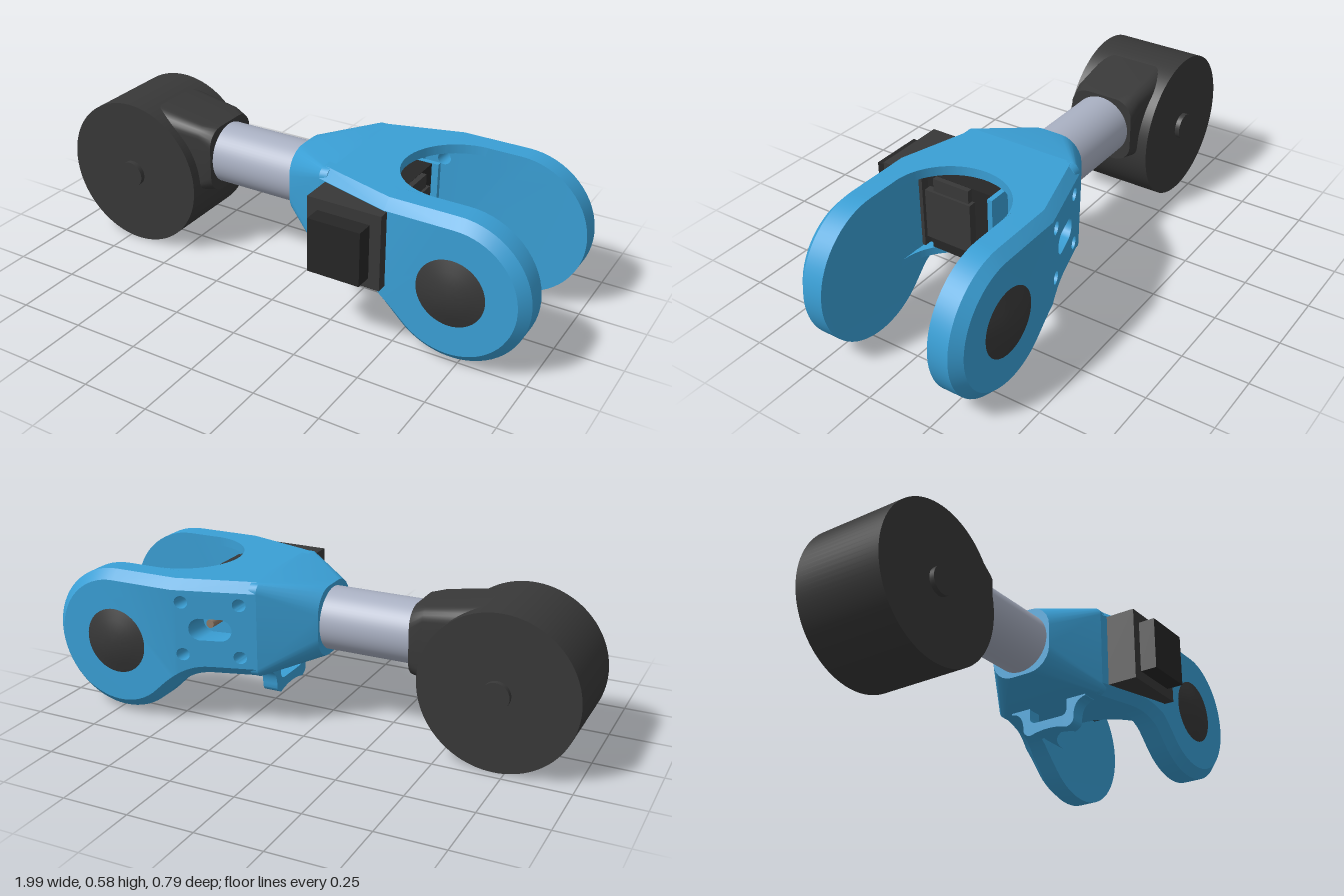
import * as THREE from 'three';
import { mergeGeometries, toCreasedNormals } from 'three/addons/utils/BufferGeometryUtils.js';

const mat = (color) => new THREE.MeshStandardMaterial({ color, roughness: 0.7 });
const blue = mat(0x3a9fd5), dark = mat(0x383838), black = mat(0x262626), steel = mat(0xa9b0c2), copper = mat(0x8f7b69);
const V2 = (x, y) => new THREE.Vector2(x, y);
const V3 = (x, y, z) => new THREE.Vector3(x, y, z);
const lerp = THREE.MathUtils.lerp;

// Skin a list of closed rings that share the same point count
function loft(rings) {
  const n = rings[0].length, index = [];
  for (let i = 0; i < rings.length - 1; i++) {
    for (let j = 0; j < n; j++) {
      const k = (j + 1) % n, a = i * n + j, b = a + n, c = (i + 1) * n + k, d = i * n + k;
      index.push(a, b, c, a, c, d);
    }
  }
  const g = new THREE.BufferGeometry();
  g.setAttribute('position', new THREE.Float32BufferAttribute(rings.flat().flatMap((p) => [p.x, p.y, p.z]), 3));
  g.setIndex(index);
  return g;
}

// Rounded rectangle across x, half width w in z
function section(x, w, y0, y1, r) {
  const pts = [], n = 6;
  [[1, 1], [-1, 1], [-1, -1], [1, -1]].forEach(([sz, sy], q) => {
    for (let i = 0; i <= n; i++) {
      const a = (q + i / n) * Math.PI / 2;
      pts.push(V3(x, (sy > 0 ? y1 - r : y0 + r) + r * Math.sin(a), sz * (w - r) + r * Math.cos(a)));
    }
  });
  return pts;
}
function cappedLoft(sections) {
  const middle = (s) => s.map(() => V3(s[0].x, (s[0].y + s[14].y) / 2, 0));
  return toCreasedNormals(loft([middle(sections[0]), ...sections, middle(sections.at(-1))]), 0.5);
}

// Side outline of a fork arm, clockwise, inset by d; split marks the end of its sloped part
const BREAK = 0.47, HUB = V2(0.722, 0.292), R = 0.272;
function armProfile(d) {
  const pts = [V2(0.17, 0.565 - d), V2(BREAK, 0.565 - d)], r = R - d, N = 40;
  for (let i = 0; i <= N; i++) {
    const a = Math.PI / 2 - (i / N) * Math.PI * 1.25;
    pts.push(V2(HUB.x + r * Math.cos(a), HUB.y + r * Math.sin(a)));
  }
  const end = pts.at(-1), o = d * 0.7;
  const bend = new THREE.CubicBezierCurve(end, V2(0.46 + o, 0.167 + o), V2(0.43, 0.207 + d), V2(0.34, 0.207 + d));
  pts.push(...bend.getPoints(14).slice(1), V2(0.17, 0.207 + d));
  return pts;
}
const SPLIT = 2 + 41 + 5;
const slope = (x) => Math.min((x - 0.17) / (BREAK - 0.17), 1);
const outerZ = (x) => lerp(0.24, 0.328, slope(x));
const innerZ = (x) => lerp(0.17, 0.215, slope(x));

function armGeometry(holes, mirror) {
  const P = armProfile(0), Q = armProfile(0.035), parts = [];
  const ring = (pts, z, dz = 0) => pts.map((p) => V3(p.x, p.y, z(p.x) + dz));
  parts.push(loft([ring(P, innerZ), ring(P, outerZ, -0.035), ring(Q, outerZ)]));
  const cap = (pts, z, cut, flip) => {
    const shape = new THREE.Shape(pts);
    cut.forEach((h) => shape.holes.push(new THREE.Path(h)));
    const g = new THREE.ShapeGeometry(shape), p = g.attributes.position;
    for (let i = 0; i < p.count; i++) p.setZ(i, z(p.getX(i)));
    if (flip) g.index.array.reverse();
    g.deleteAttribute('normal');
    g.deleteAttribute('uv');
    g.setIndex([...g.index.array]);
    parts.push(g);
  };
  [[P, innerZ, true], [Q, outerZ, false]].forEach(([pts, z, flip]) => {
    cap([...pts.slice(0, 2), ...pts.slice(SPLIT)], z, holes, flip);
    cap(pts.slice(1, SPLIT + 1), z, [], flip);
  });
  holes.forEach((h) => parts.push(loft([ring(h, innerZ), ring(h, outerZ)])));
  const g = mergeGeometries(parts);
  if (mirror) {
    g.scale(1, 1, -1);
    g.index.array.reverse();
  }
  return toCreasedNormals(g, 0.4);
}

// Counter-clockwise oblong hole, len is the distance between its end centres
function oblong(x, y, r, len = 0) {
  const pts = [], n = 20;
  for (let i = 0; i < n; i++) {
    const a = ((i + 0.5) / n) * Math.PI * 2;
    pts.push(V2(x + r * Math.cos(a) + Math.sign(Math.cos(a)) * len / 2, y + r * Math.sin(a)));
  }
  return pts;
}

export function createModel() {
  const model = new THREE.Group();
  model.position.z = -0.0375;
  const root = new THREE.Group();
  root.add(model);
  const add = (name, geo, m) => {
    const mesh = new THREE.Mesh(geo, m);
    mesh.name = name;
    model.add(mesh);
    return mesh;
  };
  const box = (name, x0, x1, y0, y1, z0, z1, m) =>
    add(name, new THREE.BoxGeometry(x1 - x0, y1 - y0, z1 - z0), m)
      .position.set((x0 + x1) / 2, (y0 + y1) / 2, (z0 + z1) / 2);
  const axle = (name, x, y, r, z0, z1, m, seg = 64) =>
    add(name, new THREE.CylinderGeometry(r, r, z1 - z0, seg).rotateX(Math.PI / 2), m)
      .position.set(x, y, (z0 + z1) / 2);

  // Drum, its axle and neck
  axle('drum', -0.71, 0.291, 0.29, -0.178, 0.178, dark, 96);
  axle('drumAxle', -0.71, 0.291, 0.051, -0.197, 0.197, dark, 32);
  add('drumNeck', cappedLoft([
    section(-0.65, 0.155, 0.25, 0.572, 0.06), section(-0.42, 0.137, 0.265, 0.535, 0.045),
    section(-0.37, 0.132, 0.265, 0.525, 0.07)]), dark);

  // Tube between drum and fork
  add('tube', new THREE.CylinderGeometry(0.118, 0.118, 0.39, 64).rotateZ(Math.PI / 2), steel)
    .position.set(-0.19, 0.397, 0);

  // Fork: tapered nose, two arms, two webs with a round end to the slot
  add('forkNose', cappedLoft([
    section(-0.02, 0.13, 0.265, 0.53, 0.09), section(0.17, 0.24, 0.207, 0.565, 0.035),
    section(0.2, 0.24, 0.207, 0.565, 0.035)]), blue);
  const holes = [oblong(0.335, 0.385, 0.042, 0.07)];
  for (const x of [0.23, 0.435]) for (const y of [0.285, 0.485]) holes.push(oblong(x, y, 0.024));
  add('frontArm', armGeometry([], false), blue);
  add('backArm', armGeometry(holes, true), blue);
  const web = new THREE.Shape();
  web.moveTo(0.17, -0.19);
  web.lineTo(BREAK, -0.22);
  web.lineTo(0.6, -0.215);
  web.absarc(0.6, 0, 0.215, -Math.PI / 2, -Math.PI * 1.5, true);
  web.lineTo(BREAK, 0.22);
  web.lineTo(0.17, 0.19);
  for (const [name, y, h] of [['topWeb', 0.53, 0.035], ['bottomWeb', 0.207, 0.03]]) {
    const g = new THREE.ExtrudeGeometry(web, { depth: h, bevelEnabled: false, curveSegments: 40 });
    add(name, toCreasedNormals(g.rotateX(-Math.PI / 2), 0.4), blue).position.y = y;
  }

  // Domed pivot caps on both arms
  const capProfile = [[0.125, -0.01], [0.125, 0], [0.085, 0.014], [0.045, 0.025], [0, 0.028]].map(([r, y]) => V2(r, y));
  for (const s of [1, -1]) {
    const g = new THREE.LatheGeometry(capProfile, 48).rotateX(s * Math.PI / 2);
    add(s > 0 ? 'frontPivotCap' : 'backPivotCap', toCreasedNormals(g, 0.5), dark).position.set(HUB.x, HUB.y, s * 0.328);
  }

  // Motor set through the front arm
  box('motorFlange', 0.2, 0.482, 0.242, 0.528, 0.2, 0.367, dark);
  box('motorEnd', 0.24, 0.44, 0.281, 0.485, 0.36, 0.4325, black);
  box('motorBody', 0.2, 0.45, 0.24, 0.527, -0.07, 0.215, black);
  box('motorHousing', 0.25, 0.48, 0.285, 0.477, 0, 0.19, dark);
  box('motorTopBlock', 0.25, 0.47, 0.475, 0.526, 0.012, 0.16, dark);
  box('motorBottomBlock', 0.25, 0.47, 0.24, 0.286, 0.012, 0.175, black);
  box('mountFlange', 0.3, 0.475, 0.235, 0.528, -0.09, -0.071, blue);
  box('mountPlate', 0.2, 0.385, 0.23, 0.53, -0.152, -0.09, blue);
  axle('motorShaft', 0.37, 0.383, 0.016, -0.23, -0.07, copper, 16);

  // Loop bracket hanging under the fork
  const loop = new THREE.Shape();
  loop.moveTo(-0.17, 0.225);
  loop.lineTo(-0.17, 0.205);
  loop.bezierCurveTo(-0.13, 0.2, -0.115, 0.17, -0.115, 0.125);
  loop.quadraticCurveTo(-0.112, 0.105, -0.085, 0.098);
  loop.quadraticCurveTo(0, 0.124, 0.085, 0.098);
  loop.quadraticCurveTo(0.112, 0.105, 0.115, 0.125);
  loop.bezierCurveTo(0.115, 0.17, 0.13, 0.2, 0.17, 0.205);
  loop.lineTo(0.17, 0.225);
  loop.lineTo(0.085, 0.225);
  loop.lineTo(0.085, 0.175);
  loop.quadraticCurveTo(0.085, 0.147, 0.055, 0.147);
  loop.lineTo(-0.055, 0.147);
  loop.quadraticCurveTo(-0.085, 0.147, -0.085, 0.175);
  loop.lineTo(-0.085, 0.225);
  const loopGeo = new THREE.ExtrudeGeometry(loop, { depth: 0.06, bevelEnabled: false, curveSegments: 10 });
  add('loopBracket', toCreasedNormals(loopGeo.rotateY(Math.PI / 2), 0.5), blue).position.x = 0.158;

  return root;
}
